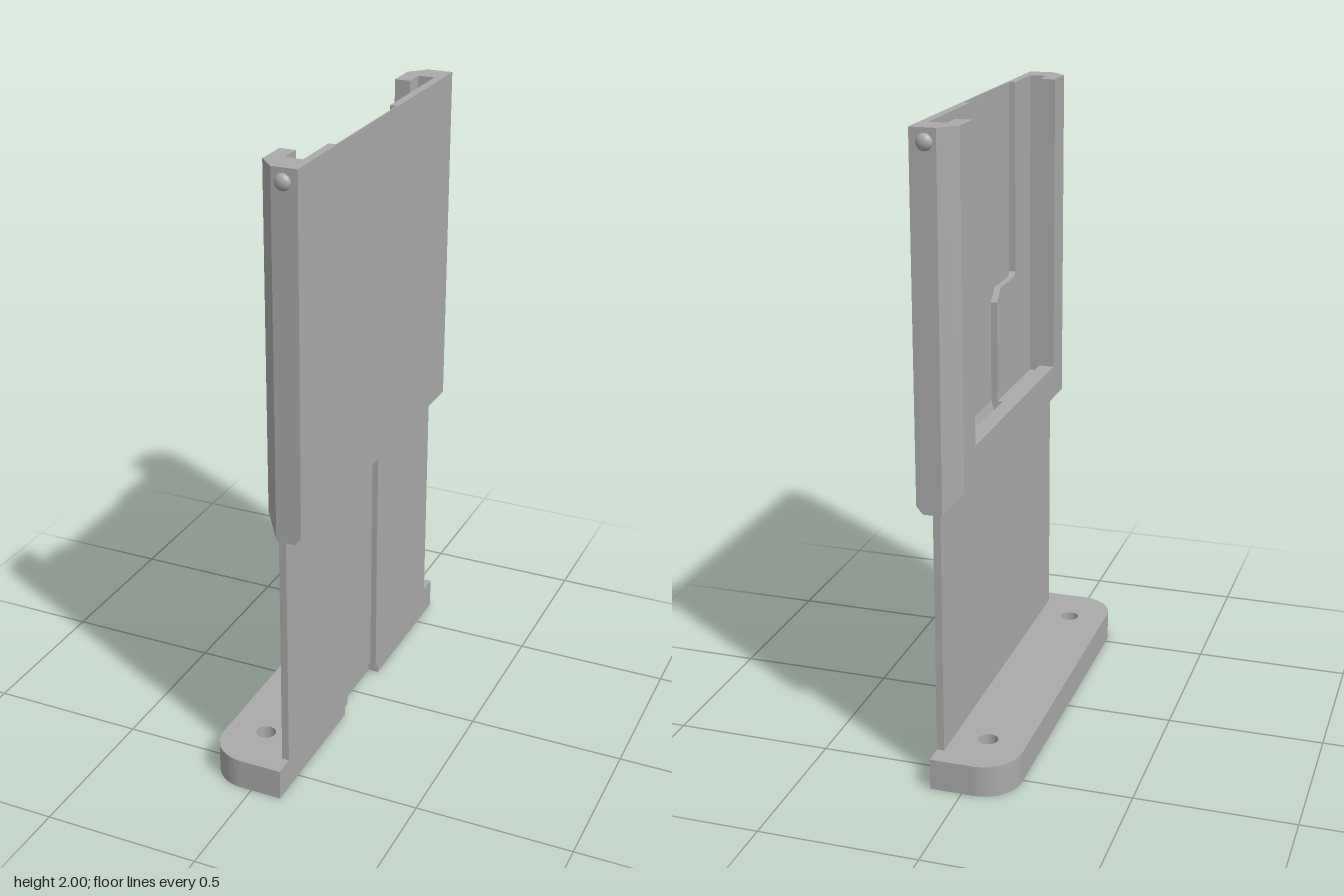
import * as THREE from 'three';
import { ConvexGeometry } from 'three/addons/geometries/ConvexGeometry.js';

const grey = new THREE.MeshStandardMaterial({ color: 0xaaaaaa });
grey.name = 'plain grey';

export function createModel() {
  const model = new THREE.Group();
  model.name = 'slidingCardHolder';

  const add = (name, geometry) => {
    const mesh = new THREE.Mesh(geometry, grey);
    mesh.name = name;
    model.add(mesh);
    return mesh;
  };
  const box = (name, x0, x1, y0, y1, z0, z1) => {
    const g = new THREE.BoxGeometry(x1 - x0, y1 - y0, z1 - z0);
    return add(name, g.translate((x0 + x1) / 2, (y0 + y1) / 2, (z0 + z1) / 2));
  };
  const polygon = (points) => new THREE.Shape(points.map(([a, b]) => new THREE.Vector2(a, b)));
  const extrude = (shape, depth) =>
    new THREE.ExtrudeGeometry(shape, { depth, bevelEnabled: false, curveSegments: 16 });
  // plan outline in (x, z), raised from y0 to y1
  const raise = (shape, y0, y1) => extrude(shape, y1 - y0).rotateX(-Math.PI / 2).translate(0, y0, 0);
  // side outline in (x, y), run from z0 to z1
  const run = (points, z0, z1) => extrude(polygon(points), z1 - z0).translate(0, 0, z0);
  // wall outline in (z, y), thickened from x0 to x1
  const thicken = (points, x0, x1) =>
    extrude(polygon(points.map(([z, y]) => [-z, y])), x1 - x0).rotateY(Math.PI / 2).translate(x0, 0, 0);

  // Foot: rounded plan with two screw holes and a notch in the flat edge
  const footPlan = (notchX, notchZ) => {
    const L = -0.155, R = 0.1, W = 0.63, r = 0.12;
    const s = new THREE.Shape();
    s.moveTo(R, -W);
    s.lineTo(R, -notchZ);
    s.lineTo(notchX, -notchZ);
    s.lineTo(notchX, notchZ);
    s.lineTo(R, notchZ);
    s.lineTo(R, W);
    s.lineTo(L + r, W);
    s.absarc(L + r, W - r, r, Math.PI / 2, Math.PI, false);
    s.lineTo(L, -W + r);
    s.absarc(L + r, -W + r, r, Math.PI, Math.PI * 1.5, false);
    s.closePath();
    for (const z of [-0.46, 0.46]) {
      const hole = new THREE.Path();
      hole.absarc(-0.03, z, 0.031, 0, Math.PI * 2, true);
      s.holes.push(hole);
    }
    return s;
  };
  add('footLower', raise(footPlan(0.065, 0.14), 0, 0.03));
  add('footMiddle', raise(footPlan(0.065, 0.12), 0.03, 0.045));
  add('footUpper', raise(footPlan(0.08, 0.12), 0.045, 0.1));
  add('notchRamp', run([[0.065, 0.03], [0.08, 0.045], [0.065, 0.045]], -0.12, 0.12));

  // Upright sheet with a shallow groove down its middle
  box('sheetGrooveWall', 0.077, 0.08, 0.09, 0.9, -0.12, 0.12);
  for (const s of [-1, 1]) {
    const [a, b] = s < 0 ? [-0.565, -0.12] : [0.12, 0.565];
    box('sheetSide', 0.077, 0.1, 0.09, 0.9, a, b);
  }

  // Holder bottom: solid bevelled ends, open slot in the middle
  const base = [[0.02, 0.93], [0.075, 0.87], [0.13, 0.87], [0.15, 0.895], [0.15, 1.0], [0.02, 1.0]];
  const end = [[0.07, 0.876], [0.075, 0.87], [0.13, 0.87], [0.15, 0.895], [0.15, 1.0], [0.07, 1.0]];
  for (const s of [-1, 1]) {
    const at = (profile, z) => profile.map(([x, y]) => new THREE.Vector3(x, y, s * z));
    add('holderBottomSide', new ConvexGeometry([...at(base, 0.12), ...at(base, 0.515), ...at(end, 0.568)]));
  }
  add('holderBottomFront',
    run([[0.02, 0.93], [0.075, 0.87], [0.08, 0.87], [0.08, 1.0], [0.02, 1.0]], -0.12, 0.12));
  add('slotRamp',
    run([[0.107, 0.87], [0.13, 0.87], [0.15, 0.895], [0.15, 1.0], [0.145, 1.0]], -0.12, 0.12));
  box('windowSill', 0.02, 0.07, 1.0, 1.04, -0.42, 0.42);

  // Side rails, each with a groove for the card edge
  for (const s of [-1, 1]) {
    const rail = [[0.02, 0.41], [0.02, 0.515], [0.07, 0.568], [0.124, 0.568],
      [0.124, 0.48], [0.07, 0.48], [0.07, 0.41]];
    add('sideRail', raise(polygon(rail.map(([x, z]) => [x, -s * z])), 1.0, 2));
  }

  // Large wall: thin outer skin and thicker panels around a stepped recess
  box('wallSkin', 0.145, 0.15, 1.0, 2, -0.568, 0.568);
  add('wallPanel', thicken([[-0.568, 1], [-0.12, 1], [-0.12, 2], [-0.568, 2]], 0.124, 0.145));
  add('steppedWallPanel', thicken([[0.12, 1], [0.568, 1], [0.568, 2], [0.315, 2], [0.315, 1.385],
    [0.3, 1.37], [0.16, 1.37], [0.12, 1.33]], 0.124, 0.145));

  // Small domed pins near the top of both ends
  for (const s of [-1, 1]) {
    const pin = add('endPin', new THREE.SphereGeometry(0.025, 20, 12));
    pin.scale.z = 0.7;
    pin.position.set(0.105, 1.96, s * 0.567);
  }
  return model;
}
